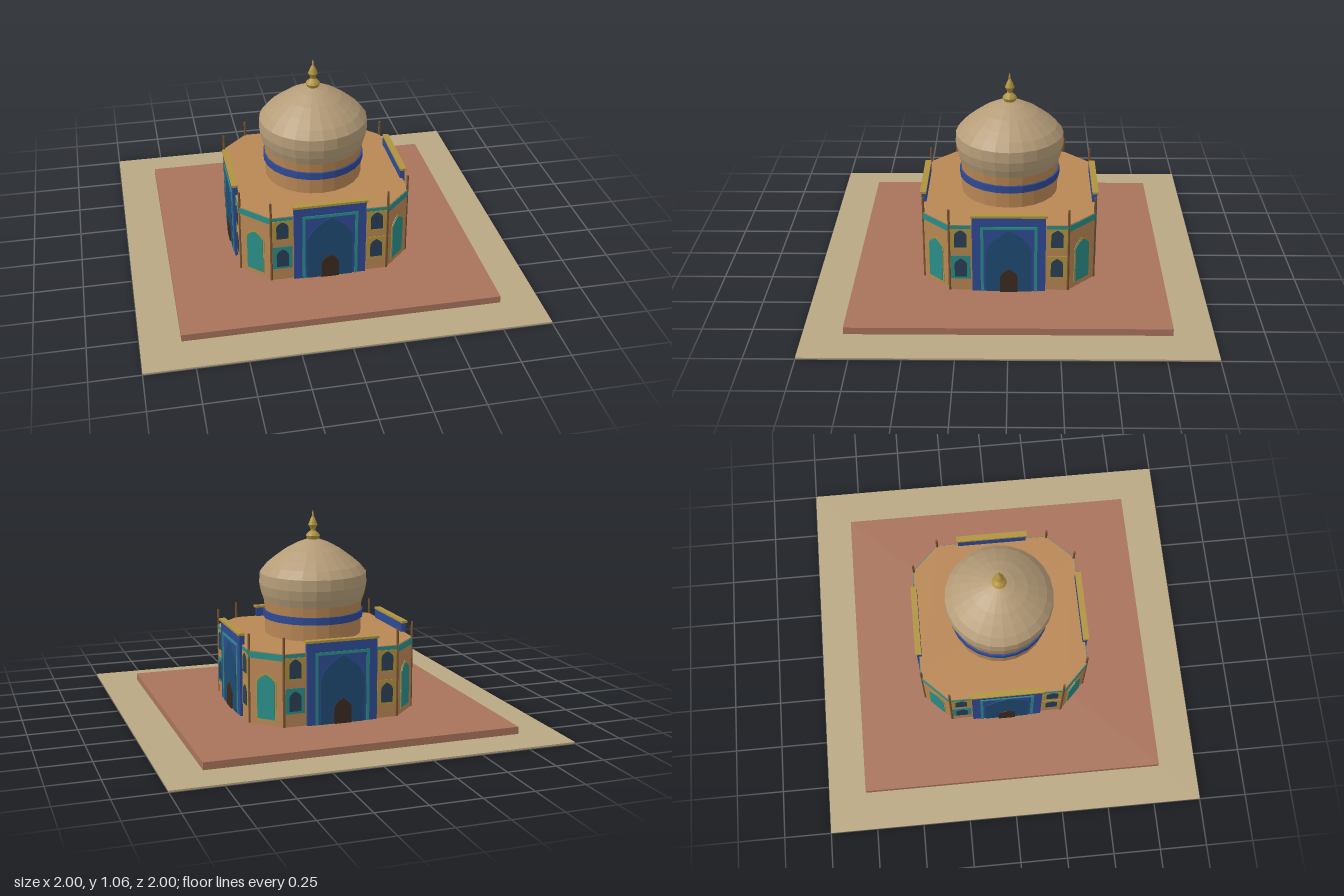
import * as THREE from 'three';

const mat = (color, flatShading = true) => new THREE.MeshStandardMaterial({ color, flatShading });
const M = {
  ground: mat(0xb8a782), plinth: mat(0xa8735a), wall: mat(0xb88654), dome: mat(0xb59c78),
  blue: mat(0x2f4a94), navy: mat(0x1f4a72), teal: mat(0x2a8c86), gold: mat(0xb0923f),
  dark: mat(0x3a2a20), glass: mat(0x2a3f55), post: mat(0x7a5230),
};
const BASE = 0.045, ROOF = 0.418, HALF = 0.44, CUT = 0.3;

function add(parent, name, geometry, material, x = 0, y = 0, z = 0) {
  const mesh = new THREE.Mesh(geometry, material);
  mesh.name = name;
  mesh.position.set(x, y, z);
  parent.add(mesh);
  return mesh;
}

const box = (w, h, d) => new THREE.BoxGeometry(w, h, d);

// Pointed arch outline standing on y0, with straight sides up to the spring
function archPanel(w, y0, spring, apex, depth) {
  const s = new THREE.Shape(), h = w / 2, rise = apex - spring;
  s.moveTo(-h, y0);
  s.lineTo(h, y0);
  s.lineTo(h, spring);
  s.quadraticCurveTo(h * 0.9, spring + rise * 0.55, 0, apex);
  s.quadraticCurveTo(-h * 0.9, spring + rise * 0.55, -h, spring);
  s.closePath();
  return new THREE.ExtrudeGeometry(s, { depth, bevelEnabled: false, curveSegments: 6 });
}

// Upright frame open at the bottom
function portalFrame(w, top, t, depth) {
  const h = w / 2, s = new THREE.Shape();
  [[-h, BASE], [-h + t, BASE], [-h + t, top - t], [h - t, top - t], [h - t, BASE], [h, BASE], [h, top], [-h, top]]
    .forEach(([x, y], i) => (i ? s.lineTo(x, y) : s.moveTo(x, y)));
  return new THREE.ExtrudeGeometry(s, { depth, bevelEnabled: false });
}

// Square plan with cut corners, extruded upwards
function octagon(half, cut, height) {
  const s = new THREE.Shape();
  [[half, cut], [cut, half], [-cut, half], [-half, cut], [-half, -cut], [-cut, -half], [cut, -half], [half, -cut]]
    .forEach(([x, y], i) => (i ? s.lineTo(x, y) : s.moveTo(x, y)));
  return new THREE.ExtrudeGeometry(s, { depth: height, bevelEnabled: false }).rotateX(-Math.PI / 2);
}

const lathe = (pts, sides) => new THREE.LatheGeometry(pts.map(([r, y]) => new THREE.Vector2(r, y)), sides);

// Main side: tall portal between stacked windows
function mainSide() {
  const g = new THREE.Group();
  g.name = 'mainSide';
  add(g, 'portal', box(0.37, 0.42, 0.025), M.blue, 0, BASE + 0.21, 0.4405);
  add(g, 'portalCap', box(0.385, 0.012, 0.032), M.gold, 0, 0.471, 0.444);
  add(g, 'portalFrame', portalFrame(0.285, 0.415, 0.015, 0.005), M.teal, 0, 0, 0.452);
  add(g, 'portalArch', archPanel(0.23, BASE, 0.27, 0.395, 0.005), M.navy, 0, 0, 0.452);
  add(g, 'door', archPanel(0.09, BASE, 0.125, 0.175, 0.011), M.dark, 0, 0, 0.452);
  for (const side of [-1, 1]) {
    const x = side * 0.243;
    add(g, 'upperPanel', box(0.1, 0.115, 0.006), M.gold, x, 0.338, HALF);
    add(g, 'lowerPanel', box(0.1, 0.13, 0.006), side < 0 ? M.teal : M.gold, x, 0.177, HALF);
    add(g, 'upperWindow', archPanel(0.062, 0.292, 0.36, 0.39, 0.004), M.glass, x, 0, HALF + 0.002);
    add(g, 'lowerWindow', archPanel(0.062, 0.125, 0.195, 0.228, 0.004), M.glass, x, 0, HALF + 0.002);
    add(g, 'tileBand', box(0.105, 0.018, 0.006), M.teal, x, 0.406, HALF);
  }
  return g;
}

// Cut corner: blind arch under a tile band
function cornerSide() {
  const g = new THREE.Group();
  g.name = 'cornerSide';
  const d = (HALF + CUT) / Math.SQRT2;
  add(g, 'blindArchBorder', archPanel(0.112, 0.07, 0.265, 0.315, 0.003), M.gold, 0, 0, d);
  add(g, 'blindArch', archPanel(0.098, 0.077, 0.262, 0.305, 0.006), M.teal, 0, 0, d);
  add(g, 'tileBand', box(0.19, 0.032, 0.008), M.teal, 0, 0.398, d);
  return g;
}

export function createModel() {
  const root = new THREE.Group();
  root.name = 'domedMausoleum';

  // Ground and plinth
  add(root, 'ground', box(2, 0.008, 2), M.ground, 0, 0.004, 0);
  add(root, 'plinth', box(1.6, BASE - 0.004, 1.6), M.plinth, 0, (BASE + 0.004) / 2, 0);

  // Body with its four main sides, four cut corners and slim corner posts
  add(root, 'body', octagon(HALF, CUT, ROOF - BASE), M.wall, 0, BASE, 0);
  for (let i = 0; i < 4; i++) {
    const side = mainSide(), corner = cornerSide();
    side.rotation.y = i * Math.PI / 2;
    corner.rotation.y = (i + 0.5) * Math.PI / 2;
    root.add(side, corner);
    for (const s of [-1, 1]) {
      const p = new THREE.Vector3(s * CUT, 0, HALF - 0.003).applyAxisAngle(new THREE.Vector3(0, 1, 0), i * Math.PI / 2);
      add(root, 'cornerPost', new THREE.CylinderGeometry(0.006, 0.007, 0.455, 8), M.post, p.x, BASE + 0.2275, p.z);
    }
  }

  // Drum with tile band
  add(root, 'drum', new THREE.CylinderGeometry(0.252, 0.252, 0.18, 24), M.wall, 0, 0.505, 0);
  add(root, 'drumBand', new THREE.CylinderGeometry(0.262, 0.262, 0.038, 24), M.blue, 0, 0.522, 0);
  add(root, 'drumCornice', new THREE.CylinderGeometry(0.258, 0.254, 0.05, 24), M.wall, 0, 0.568, 0);

  // Bulbous dome
  add(root, 'dome', lathe([[0, 0.59], [0.258, 0.59], [0.272, 0.63], [0.282, 0.68], [0.279, 0.737],
    [0.245, 0.778], [0.2, 0.815], [0.145, 0.855], [0.08, 0.89], [0.03, 0.908], [0, 0.914]], 24), M.dome);

  // Finial
  add(root, 'finial', lathe([[0, 0.905], [0.03, 0.907], [0.038, 0.926], [0.03, 0.937], [0.012, 0.952], [0.014, 0.962],
    [0.025, 0.982], [0.016, 1.005], [0.006, 1.025], [0.005, 1.04], [0, 1.06]], 12), M.gold);
  return root;
}
